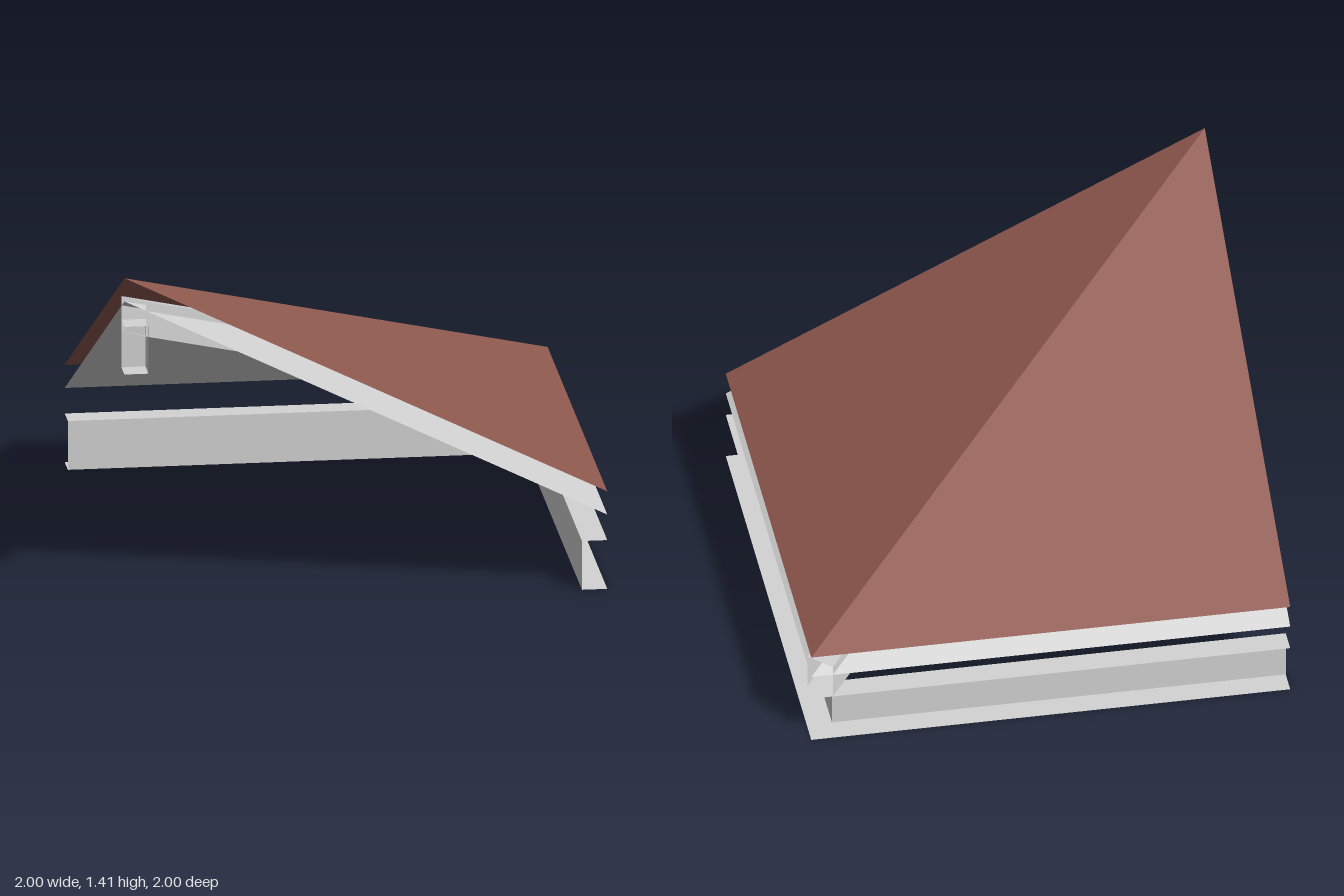
import * as THREE from 'three';

const roofMat = new THREE.MeshStandardMaterial({ color: 0x8f594f, side: THREE.DoubleSide });
roofMat.name = 'roofRed';
const steelMat = new THREE.MeshStandardMaterial({ color: 0xd3d3d3, side: THREE.DoubleSide });
steelMat.name = 'beamGrey';

// Thin flat panel from three or four corners
function panel(name, mat, corners) {
  const pts = corners.length === 4
    ? [0, 1, 2, 0, 2, 3].map((i) => corners[i])
    : corners;
  const geo = new THREE.BufferGeometry();
  geo.setAttribute('position', new THREE.Float32BufferAttribute(pts.flat(), 3));
  geo.computeVertexNormals();
  const mesh = new THREE.Mesh(geo, mat);
  mesh.name = name;
  return mesh;
}

// Mirror across the vertical plane of the hip; reversed to keep the winding outward
const mirror = (corners) => corners.map(([x, y, z]) => [-z, y, -x]).reverse();

export function createModel() {
  const model = new THREE.Group();
  model.name = 'hipRoofCorner';

  function part(name) {
    const g = new THREE.Group();
    g.name = name;
    model.add(g);
    return g;
  }
  function addPair(group, name, mat, corners) {
    group.add(panel(name, mat, corners), panel(name + 'Mirrored', mat, mirror(corners)));
  }

  // Roof covering and the parallel lining below it
  const slope = (eave, top) => [[1, eave, 1], [1, eave, -1], [-1, top, 1]];
  addPair(part('roofCovering'), 'roofSlope', roofMat, slope(0.42, 1.415));
  addPair(part('roofLining'), 'liningSlope', steelMat, slope(0.32, 1.315));

  // Eave beams: inner web with two flanges, mitred at the corner
  const W = 0.895;
  const H = 0.21;
  const eaves = part('eaveBeams');
  addPair(eaves, 'eaveWeb', steelMat, [[W, 0, 1], [W, 0, -W], [W, H, -W], [W, H, 1]]);
  for (const [name, y] of [['eaveBottomFlange', 0], ['eaveTopFlange', H]]) {
    addPair(eaves, name, steelMat, [[W, y, 1], [1, y, 1], [1, y, -1], [W, y, -W]]);
  }

  // Hip rafter: sloping hollow beam, open at both ends
  const S = 0.91;
  const D = 0.15;
  const low = [1, 0.21, -S];
  const high = [-S, 1.16, 1];
  const raise = ([x, y, z]) => [x, y + D, z];
  const flip = ([x, y, z]) => [-z, y, -x];
  const hip = part('hipRafter');
  addPair(hip, 'hipSide', steelMat, [low, raise(low), raise(high), high]);
  const under = [low, high, flip(high), flip(low)];
  hip.add(panel('hipUnderside', steelMat, under));
  hip.add(panel('hipTop', steelMat, under.map(raise).reverse()));

  // Ridge stub at the apex: two walls with plates above and below
  const P = 0.9;
  const y0 = 1.0;
  const y1 = 1.205;
  const stub = part('ridgeStub');
  addPair(stub, 'stubWall', steelMat, [[-P, y0, 1], [-P, y0, P], [-P, y1, P], [-P, y1, 1]]);
  for (const [name, y] of [['stubBottomPlate', y0], ['stubTopPlate', y1]]) {
    stub.add(panel(name, steelMat, [[-1, y, P], [-1, y, 1], [-P, y, 1], [-P, y, P]]));
  }

  return model;
}
